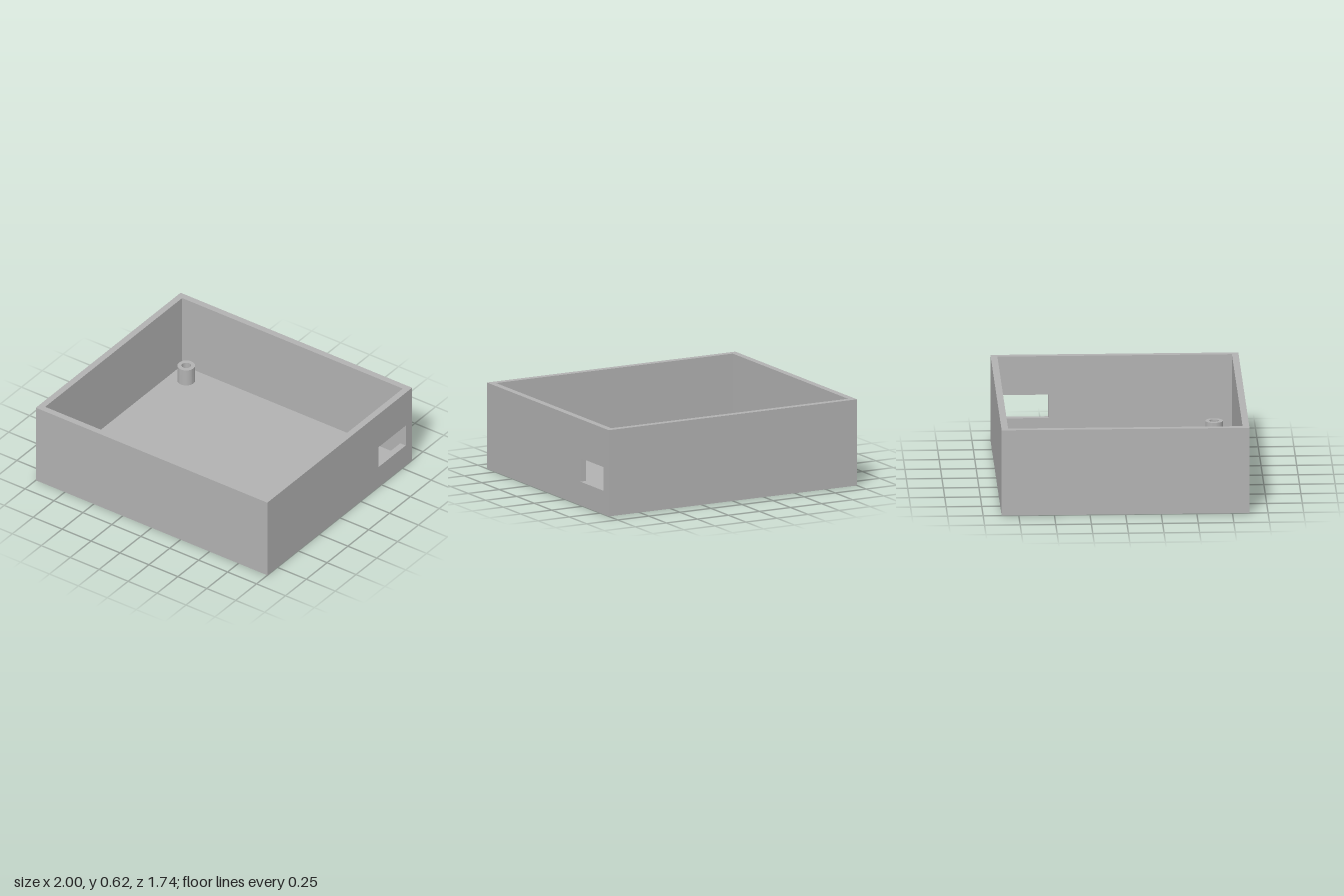
import * as THREE from 'three';
import { toCreasedNormals } from 'three/addons/utils/BufferGeometryUtils.js';

const W = 1, D = 0.87, H = 0.62;            // outer half width, half depth, height
const T = 0.047;                            // wall and floor thickness
const WIN = { z0: -0.793, z1: -0.465, y0: 0.17, y1: 0.34 };
const POST = { r: 0.062, bore: 0.033, top: 0.175 };

function rect(path, x0, y0, x1, y1) {
  path.moveTo(x0, y0);
  path.lineTo(x1, y0);
  path.lineTo(x1, y1);
  path.lineTo(x0, y1);
  path.closePath();
  return path;
}

export function createModel() {
  const group = new THREE.Group();
  const grey = new THREE.MeshStandardMaterial({ color: 0xb2b2b2 });
  grey.name = 'grey';

  // Flat rectangular face with an optional rectangular opening
  function face(name, box, hole, pos, rx, ry) {
    const shape = rect(new THREE.Shape(), ...box);
    if (hole) shape.holes.push(rect(new THREE.Path(), ...hole));
    const mesh = new THREE.Mesh(new THREE.ShapeGeometry(shape), grey);
    mesh.name = name;
    mesh.position.set(...pos);
    mesh.rotation.set(rx, ry, 0);
    group.add(mesh);
  }

  const q = Math.PI / 2, w = W - T, d = D - T;

  // Underside, inner floor and rim
  face('underside', [-W, -D, W, D], null, [0, 0, 0], q, 0);
  face('floor', [-w, -d, w, d], null, [0, T, 0], -q, 0);
  face('rim', [-W, -D, W, D], [-w, -d, w, d], [0, H, 0], -q, 0);

  // Walls: outer and inner faces, with the port opening on the +x side
  const { z0, z1, y0, y1 } = WIN;
  face('frontWallOuter', [-W, 0, W, H], null, [0, 0, D], 0, 0);
  face('backWallOuter', [-W, 0, W, H], null, [0, 0, -D], 0, Math.PI);
  face('leftWallOuter', [-D, 0, D, H], [-z1, y0, -z0, y1], [W, 0, 0], 0, q);
  face('rightWallOuter', [-D, 0, D, H], null, [-W, 0, 0], 0, -q);
  face('frontWallInner', [-w, T, w, H], null, [0, 0, d], 0, Math.PI);
  face('backWallInner', [-w, T, w, H], null, [0, 0, -d], 0, 0);
  face('leftWallInner', [-d, T, d, H], [z0, y0, z1, y1], [w, 0, 0], 0, -q);
  face('rightWallInner', [-d, T, d, H], null, [-w, 0, 0], 0, q);

  // Reveal of the port opening
  face('portSill', [w, -z1, W, -z0], null, [0, y0, 0], -q, 0);
  face('portHead', [w, z0, W, z1], null, [0, y1, 0], q, 0);
  face('portBackJamb', [w, y0, W, y1], null, [0, 0, z0], 0, 0);
  face('portFrontJamb', [-W, y0, -w, y1], null, [0, 0, z1], 0, Math.PI);

  // Hollow screw posts
  const profile = [
    [POST.r, T], [POST.r, POST.top], [POST.bore, POST.top], [POST.bore, T],
  ].map(([x, y]) => new THREE.Vector2(x, y));
  const postGeo = toCreasedNormals(new THREE.LatheGeometry(profile, 40), 0.6);
  for (const [x, z] of [[-0.82, -0.687], [-0.82, 0.51], [0.82, 0.693]]) {
    const post = new THREE.Mesh(postGeo, grey);
    post.name = 'screwPost';
    post.position.set(x, 0, z);
    group.add(post);
  }
  return group;
}
